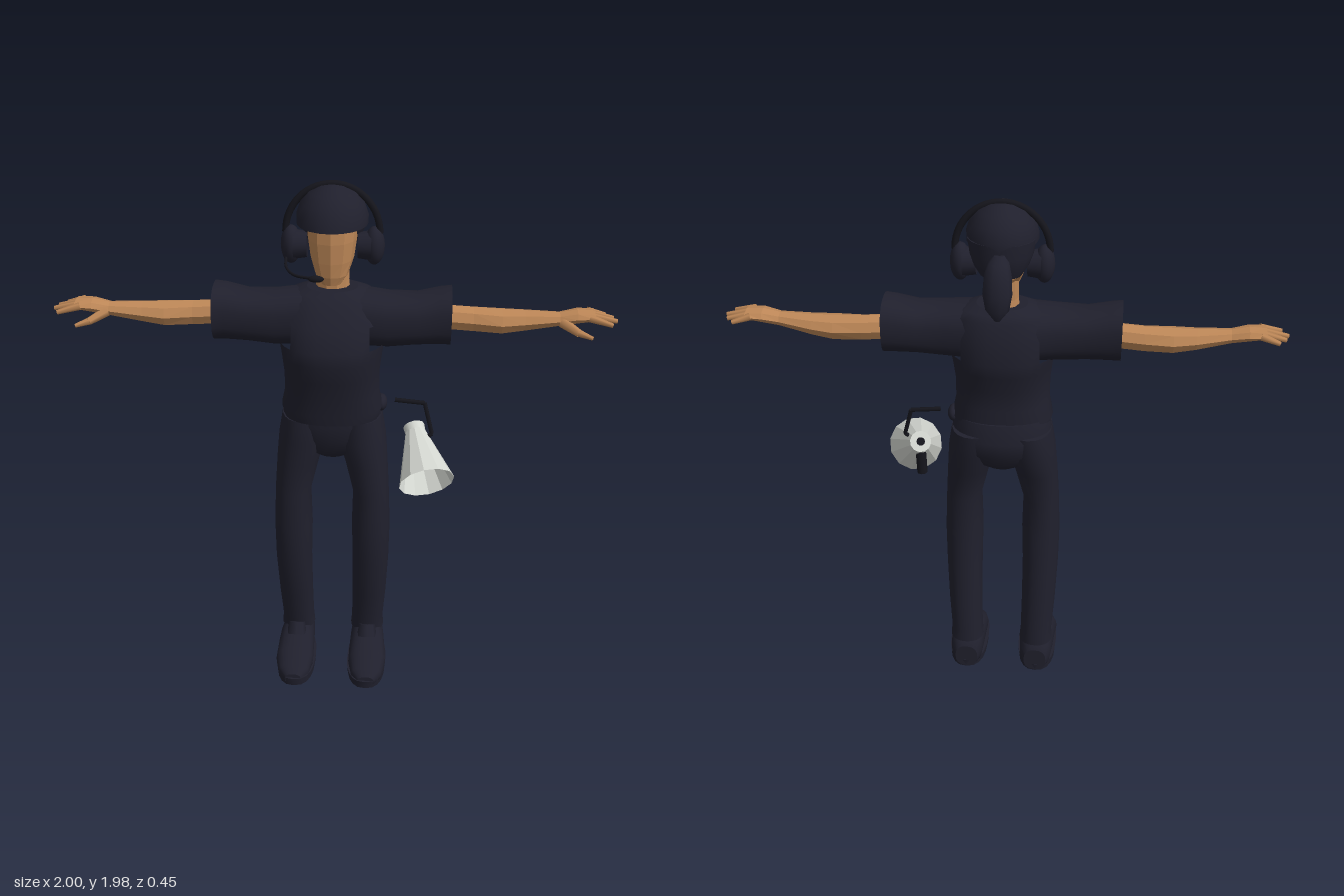
import * as THREE from 'three';

const mat = (name, color, extra = {}) => Object.assign(new THREE.MeshStandardMaterial({ color, ...extra }), { name });

export function createModel() {
  const cloth = mat('dark navy cloth', 0x20202d);
  const skin = mat('skin', 0xbd8757);
  const black = mat('black plastic', 0x15151c);
  const grey = mat('light grey plastic', 0xd3d6d0, { side: THREE.DoubleSide });
  const root = new THREE.Group();
  root.name = 'headsetFigure';

  const add = (name, geo, material, parent = root) => {
    const mesh = new THREE.Mesh(geo, material);
    mesh.name = name;
    parent.add(mesh);
    return mesh;
  };

  // Adds a part on the left and its mirror image on the right
  const pair = (name, geo, material) => {
    add('left' + name, geo, material);
    add('right' + name, geo, material).scale.x = -1;
  };

  // Skins superellipse sections [position, centre1, centre2, radius1, radius2] along an axis.
  // Plane axes are (x,z) for y, (z,y) for x and (y,x) for z.
  const place = {
    x: (s, a, b) => [s, b, a],
    y: (s, a, b) => [a, s, b],
    z: (s, a, b) => [b, a, s],
  };
  function loft(axis, rings, { n = 20, p = 2, caps = true, flat = false, skip = null } = {}) {
    const pos = [], idx = [];
    const bend = v => Math.sign(v) * Math.abs(v) ** (2 / p);
    const ring = ([s, c1, c2, r1, r2]) => {
      for (let i = 0; i < n; i++) {
        const t = (i / n) * Math.PI * 2;
        pos.push(...place[axis](s, c1 + r1 * bend(Math.cos(t)), c2 + r2 * bend(Math.sin(t))));
      }
    };
    rings.forEach(ring);
    for (let k = 0; k < rings.length - 1; k++) {
      for (let i = 0; i < n; i++) {
        const j = (i + 1) % n, a = k * n + i, b = k * n + j;
        const quad = [a, b, a + n, b + n];
        if (skip && quad.every(v => skip(pos[v * 3], pos[v * 3 + 1]))) continue;
        idx.push(a, a + n, b, b, a + n, b + n);
      }
    }
    if (caps) {
      [rings[0], rings[rings.length - 1]].forEach((r, end) => {
        const base = pos.length / 3;
        ring(r);
        pos.push(...place[axis](r[0], r[1], r[2]));
        for (let i = 0; i < n; i++) {
          const a = base + i, b = base + (i + 1) % n;
          idx.push(base + n, ...(end ? [b, a] : [a, b]));
        }
      });
    }
    let geo = new THREE.BufferGeometry();
    geo.setAttribute('position', new THREE.Float32BufferAttribute(pos, 3));
    geo.setIndex(idx);
    if (flat) geo = geo.toNonIndexed();
    geo.computeVertexNormals();
    return geo;
  }

  // Tapered rod between two points
  function rod(a, b, ra, rb, sides = 6, open = false) {
    const A = new THREE.Vector3(...a), B = new THREE.Vector3(...b);
    const dir = B.clone().sub(A);
    const geo = new THREE.CylinderGeometry(rb, ra, dir.length(), sides, 1, open);
    geo.applyQuaternion(new THREE.Quaternion().setFromUnitVectors(new THREE.Vector3(0, 1, 0), dir.normalize()));
    const m = A.add(B).multiplyScalar(0.5);
    return geo.translate(m.x, m.y, m.z);
  }
  const ball = (x, y, z, rx, ry, rz) => new THREE.SphereGeometry(1, 16, 12).scale(rx, ry, rz).translate(x, y, z);

  // Shirt: body shell with open armholes, and open sleeves
  add('shirtBody', loft('y', [
    [1.12, 0, 0.02, 0.175, 0.125], [1.16, 0, 0.02, 0.185, 0.132], [1.22, 0, 0.028, 0.172, 0.132],
    [1.3, 0, 0.035, 0.172, 0.145], [1.37, 0, 0.032, 0.18, 0.166], [1.42, 0, 0.028, 0.188, 0.168],
    [1.5, 0, 0.018, 0.185, 0.152], [1.57, 0, 0.002, 0.17, 0.115], [1.592, 0, -0.002, 0.14, 0.092],
    [1.607, 0, 0, 0.09, 0.074],
  ], { n: 32, p: 2.3, skip: (x, y) => Math.abs(x) > 0.13 && y > 1.415 && y < 1.575 }), cloth);
  pair('Sleeve', loft('x', [
    [0.1, 0.008, 1.5, 0.11, 0.1], [0.2, 0.018, 1.495, 0.1, 0.096], [0.3, 0.014, 1.498, 0.098, 0.09],
    [0.38, 0.01, 1.508, 0.1, 0.098], [0.42, 0.01, 1.51, 0.105, 0.1],
  ], { n: 24, p: 2.5, caps: false }), cloth);
  add('hipPack', ball(0.18, 1.155, 0.0, 0.022, 0.03, 0.04), cloth);

  // Trousers
  add('pelvis', loft('y', [
    [0.95, 0, 0, 0.06, 0.06], [0.98, 0, 0, 0.12, 0.095], [1.04, 0, -0.008, 0.175, 0.125],
    [1.1, 0, -0.005, 0.188, 0.133], [1.17, 0, 0.005, 0.172, 0.122],
  ], { n: 28, p: 2.2 }), cloth);
  pair('TrouserLeg', loft('y', [
    [0.135, 0.14, -0.035, 0.066, 0.066], [0.18, 0.14, -0.03, 0.062, 0.068], [0.32, 0.146, -0.012, 0.066, 0.074],
    [0.5, 0.15, 0.015, 0.07, 0.086], [0.65, 0.149, 0.02, 0.073, 0.086], [0.8, 0.148, 0.024, 0.068, 0.087],
    [0.93, 0.128, 0.014, 0.08, 0.1], [1.03, 0.108, 0, 0.092, 0.125], [1.12, 0.1, -0.004, 0.085, 0.125],
  ], { p: 2.2 }), cloth);

  // Shoes
  pair('Shoe', loft('z', [
    [-0.098, 0.055, 0.14, 0.05, 0.045], [-0.075, 0.077, 0.14, 0.075, 0.062], [0, 0.08, 0.142, 0.08, 0.068],
    [0.06, 0.075, 0.143, 0.075, 0.071], [0.13, 0.055, 0.145, 0.055, 0.074], [0.19, 0.037, 0.145, 0.037, 0.06],
    [0.222, 0.028, 0.145, 0.022, 0.032],
  ], { p: 2.4 }), cloth);
  pair('ShoeSole', loft('y', [
    [0, 0.142, 0.065, 0.075, 0.162], [0.033, 0.142, 0.065, 0.078, 0.166],
  ], { p: 2.5 }), cloth);
  pair('ShoeTongue', rod([0.142, 0.13, 0.06], [0.142, 0.172, 0.035], 0.04, 0.032, 8), cloth);

  // Arms and hands
  pair('Arm', loft('x', [
    [0.39, -0.002, 1.497, 0.048, 0.046], [0.5, -0.005, 1.49, 0.05, 0.046], [0.6, 0, 1.487, 0.058, 0.045],
    [0.68, 0.002, 1.493, 0.05, 0.037], [0.8, 0.012, 1.505, 0.036, 0.024], [0.86, 0.012, 1.518, 0.046, 0.024],
    [0.92, 0.012, 1.523, 0.05, 0.016],
  ], { n: 8, flat: true }), skin);
  [[-0.026, -0.04, 0.965], [0.0, -0.008, 0.99], [0.026, 0.025, 1.0], [0.05, 0.068, 0.98]].forEach(([z0, z1, x], i) => {
    pair('Finger' + (i + 1), rod([0.9, 1.524, z0], [x, 1.505, z1], 0.014, 0.008).toNonIndexed(), skin);
  });
  pair('ThumbBase', rod([0.81, 1.5, 0.035], [0.865, 1.478, 0.082], 0.02, 0.014), skin);
  pair('ThumbTip', rod([0.86, 1.48, 0.078], [0.91, 1.468, 0.1], 0.014, 0.007), skin);

  // Head and neck
  add('neck', loft('y', [
    [1.59, 0, -0.008, 0.062, 0.052], [1.63, 0, -0.006, 0.058, 0.049], [1.72, 0, -0.01, 0.058, 0.05],
  ], { n: 10, flat: true }), skin);
  add('face', loft('y', [
    [1.64, 0, 0.068, 0.034, 0.035], [1.67, 0, 0.045, 0.058, 0.067], [1.72, 0, 0.018, 0.076, 0.1],
    [1.79, 0, 0.01, 0.086, 0.112], [1.87, 0, 0.008, 0.09, 0.11],
  ], { n: 12, p: 2.2, flat: true }), skin);

  // Hair: crown, back of the head and ponytail
  add('hairCrown', loft('y', [
    [1.84, 0, 0.012, 0.124, 0.142], [1.87, 0, 0.008, 0.124, 0.14], [1.91, 0, 0.006, 0.11, 0.122],
    [1.945, 0, 0.004, 0.08, 0.09], [1.965, 0, 0, 0.04, 0.048], [1.97, 0, 0, 0.01, 0.01],
  ]), cloth);
  add('hairBack', loft('y', [
    [1.735, 0, -0.06, 0.07, 0.045], [1.77, 0, -0.045, 0.095, 0.077], [1.81, 0, -0.035, 0.11, 0.095],
    [1.86, 0, -0.025, 0.118, 0.105],
  ]), cloth);
  add('ponytail', loft('y', [
    [1.625, 0, -0.19, 0.01, 0.012], [1.665, 0, -0.195, 0.04, 0.028], [1.72, 0, -0.19, 0.05, 0.033],
    [1.78, 0, -0.17, 0.046, 0.04], [1.815, 0, -0.145, 0.036, 0.035], [1.832, 0, -0.128, 0.018, 0.015],
  ], { n: 10 }), cloth);

  // Headset
  add('headband', new THREE.TorusGeometry(0.163, 0.012, 8, 28, Math.PI).scale(1, 1.04, 1.1).translate(0, 1.8, 0), black);
  pair('EarCup', ball(0.145, 1.755, 0, 0.036, 0.068, 0.047), cloth);
  pair('EarPad', rod([0.088, 1.755, 0], [0.135, 1.755, 0], 0.045, 0.052, 16), cloth);
  const boom = new THREE.CatmullRomCurve3([[-0.16, 1.72, 0.02], [-0.155, 1.698, 0.08], [-0.12, 1.69, 0.14], [-0.05, 1.69, 0.172]]
    .map(p => new THREE.Vector3(...p)));
  add('microphoneBoom', new THREE.TubeGeometry(boom, 14, 0.005, 6), black);
  add('microphone', ball(-0.045, 1.69, 0.174, 0.027, 0.012, 0.012), black);

  // Loudhailer on a hip strap
  const hailer = new THREE.Group();
  hailer.name = 'loudhailer';
  root.add(hailer);
  add('horn', rod([0.308, 1.03, -0.02], [0.355, 0.91, 0.16], 0.036, 0.103, 12, true).toNonIndexed(), grey, hailer)
    .geometry.computeVertexNormals();
  add('mouthpiece', rod([0.303, 1.041, -0.036], [0.31, 1.025, -0.012], 0.04, 0.038, 12), grey, hailer);
  add('mouthpieceHole', rod([0.302, 1.043, -0.039], [0.303, 1.041, -0.035], 0.016, 0.016, 10), black, hailer);
  add('grip', rod([0.305, 0.89, -0.01], [0.31, 1.01, -0.005], 0.02, 0.02, 8), black, hailer);
  const strap = [[0.23, 1.165, 0], [0.34, 1.155, 0], [0.37, 1.04, 0.02], [0.33, 1.005, 0.03]];
  for (let i = 0; i < 3; i++) add('strap' + (i + 1), rod(strap[i], strap[i + 1], 0.008, 0.008), black, hailer);

  return root;
}
